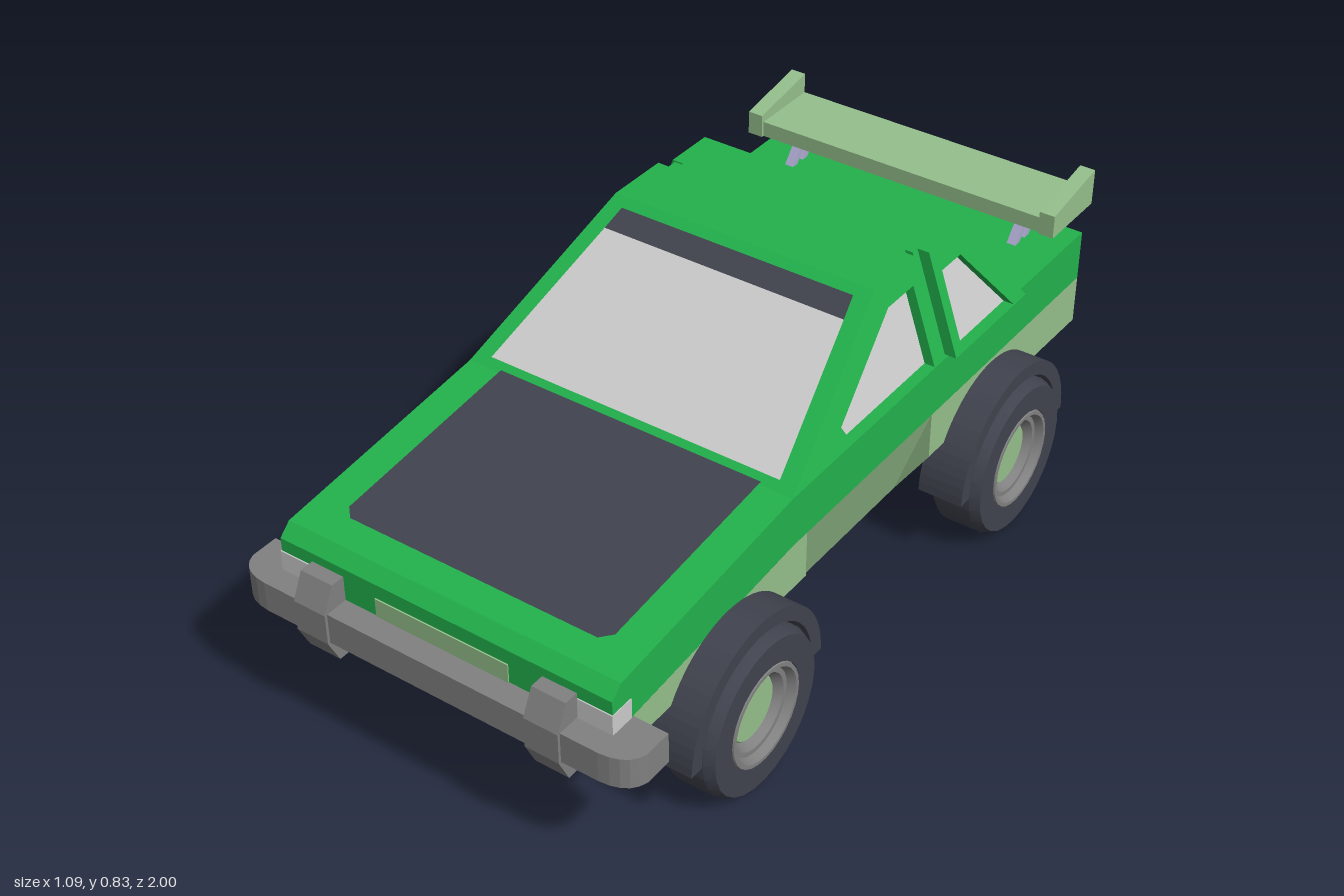
import * as THREE from 'three';
import { toCreasedNormals } from 'three/addons/utils/BufferGeometryUtils.js';

const mat = (color, extra = {}) => new THREE.MeshStandardMaterial({ color, side: THREE.DoubleSide, ...extra });
const GREEN = mat(0x22b14c), PALE = mat(0x94bf8b), DARK = mat(0x40434e), GREY = mat(0x808080);
const GLASS = mat(0xcccccc), ROD = mat(0xaaa6cc), NAVY = mat(0x2b2d80);
const CX = 0.01;        // body centre line
const HALF = 0.435;     // body half width

export function createModel() {
  const car = new THREE.Group();
  car.name = 'car';

  const add = (name, geo, material) => {
    const mesh = new THREE.Mesh(geo, material);
    mesh.name = name;
    car.add(mesh);
    return mesh;
  };
  const shapeOf = pts => new THREE.Shape(pts.map(p => new THREE.Vector2(...p)));

  // Sweep a (z, y) shape sideways; xAt(y, t) gives x for t from 0 to 1
  function sweep(shape, xAt, flip = false) {
    const geo = new THREE.ExtrudeGeometry(shape, { depth: 1, bevelEnabled: false, curveSegments: 16 });
    const p = geo.attributes.position;
    for (let i = 0; i < p.count; i++) {
      const z = p.getX(i), y = p.getY(i);
      p.setXYZ(i, xAt(y, p.getZ(i)), y, z);
    }
    if (flip) {
      for (let i = 0; i < p.count; i += 3) {
        const b = new THREE.Vector3().fromBufferAttribute(p, i + 1);
        p.setXYZ(i + 1, p.getX(i + 2), p.getY(i + 2), p.getZ(i + 2));
        p.setXYZ(i + 2, b.x, b.y, b.z);
      }
    }
    geo.computeVertexNormals();
    return geo;
  }
  const prism = (pts, x0, x1) => sweep(shapeOf(pts), (y, t) => x1 + (x0 - x1) * t);
  const box = (name, x0, x1, y0, y1, z0, z1, material) =>
    add(name, prism([[z0, y0], [z1, y0], [z1, y1], [z0, y1]], x0, x1), material);

  // Thin flat panel from its corners
  function panel(name, pts, material) {
    const v = [];
    for (let i = 1; i < pts.length - 1; i++) v.push(...pts[0], ...pts[i], ...pts[i + 1]);
    const geo = new THREE.BufferGeometry();
    geo.setAttribute('position', new THREE.Float32BufferAttribute(v, 3));
    geo.computeVertexNormals();
    return add(name, geo, material);
  }

  // Lower hull: z, top y, middle y, middle half width, bottom y, bottom half width
  const sections = [
    [0.935, 0.395, 0.33, HALF, 0.33, HALF],
    [0.8125, 0.405, 0.33, HALF, 0.2, 0.348],
    [0.3, 0.45, 0.33, HALF, 0.2, 0.348],
    [0.245, 0.45, 0.33, HALF, 0.2, 0.348],
    [0.245, 0.45, 0.33, 0.393, 0.2, 0.348],
    [-0.27, 0.45, 0.33, 0.393, 0.2, 0.348],
    [-0.27, 0.45, 0.33, HALF, 0.2, 0.348],
    [-0.62, 0.45, 0.33, HALF, 0.2, 0.348],
    [-0.965, 0.45, 0.325, HALF, 0.325, HALF],
  ];
  const rings = sections.map(([z, ty, my, mw, by, bw]) => [
    [CX + HALF, ty, z], [CX + mw, my, z], [CX + bw, by, z],
    [CX - bw, by, z], [CX - mw, my, z], [CX - HALF, ty, z]]);
  const hull = [];
  for (let i = 0; i < rings.length - 1; i++) {
    for (let j = 0; j < 6; j++) {
      const k = (j + 1) % 6, [r, s] = [rings[i], rings[i + 1]];
      hull.push(...r[j], ...r[k], ...s[k], ...r[j], ...s[k], ...s[j]);
    }
  }
  const first = rings[0], last = rings[rings.length - 1];
  for (let j = 1; j < 5; j++) {
    hull.push(...first[0], ...first[j + 1], ...first[j]);
    hull.push(...last[0], ...last[j], ...last[j + 1]);
  }
  const hullGeo = new THREE.BufferGeometry();
  hullGeo.setAttribute('position', new THREE.Float32BufferAttribute(hull, 3));
  hullGeo.computeVertexNormals();
  add('lowerBody', hullGeo, PALE);

  // Upper body with hood and rear deck
  add('upperBody', prism([[0.935, 0.395], [0.935, 0.487], [0.905, 0.515], [0.305, 0.58],
    [-0.965, 0.58], [-0.965, 0.45], [0.3, 0.45]], CX - HALF, CX + HALF), GREEN);
  const hoodY = z => 0.583 - (z - 0.305) * 0.108;
  panel('hoodPanel', [[-0.34, 0.297], [-0.34, 0.81], [-0.315, 0.835], [0.335, 0.835], [0.36, 0.81], [0.36, 0.297]]
    .map(([x, z]) => [x, hoodY(z), z]), DARK);
  box('frontPlate', -0.165, 0.185, 0.395, 0.45, 0.9, 0.938, PALE);
  box('rearPanel', CX - 0.26, CX + 0.26, 0.44, 0.5, -0.968, -0.95, PALE);
  for (const s of [-1, 1]) {
    const a = CX + s * 0.35, b = CX + s * 0.437;
    box('headlamp', Math.min(a, b), Math.max(a, b), 0.395, 0.453, 0.875, 0.938, GLASS);
  }

  // Cabin: inset core, side frames with window openings, and glass
  const halfAt = y => HALF - 0.348 * (y - 0.58);
  function cabin(label, cx, core, frame, opening) {
    add(label + 'Cabin', sweep(shapeOf(core), (y, t) => cx + (1 - 2 * t) * (halfAt(y) - 0.03)), GREEN);
    for (const s of [-1, 1]) {
      const shape = shapeOf(frame);
      shape.holes.push(new THREE.Path(opening.map(p => new THREE.Vector2(...p))));
      add(label + 'SideFrame', sweep(shape, (y, t) => cx + s * (halfAt(y) - 0.034 * t), s < 0), GREEN);
      panel(label + 'SideWindow', opening.map(([z, y]) => [cx + s * (halfAt(y) - 0.026), y, z]), GLASS);
    }
  }
  cabin('front', CX,
    [[0.305, 0.58], [-0.135, 0.83], [-0.325, 0.83], [-0.325, 0.58]],
    [[0.305, 0.58], [-0.135, 0.83], [-0.3, 0.83], [-0.3, 0.58]],
    [[0.073, 0.583], [0.095, 0.63], [-0.165, 0.775], [-0.27, 0.775], [-0.27, 0.583]]);
  cabin('rear', 0.03,
    [[-0.31, 0.58], [-0.31, 0.83], [-0.46, 0.83], [-0.65, 0.58]],
    [[-0.33, 0.58], [-0.33, 0.83], [-0.46, 0.83], [-0.65, 0.58]],
    [[-0.36, 0.583], [-0.36, 0.775], [-0.44, 0.775], [-0.592, 0.583]]);

  // Windshield, its dark top strip, and rear window
  const windshield = (x, y) => [x, y + 0.003, 0.307 - (y - 0.58) * 1.76];
  const rearSlope = (x, y) => [x, y + 0.002, -0.653 + (y - 0.58) * 0.76];
  panel('windshield', [windshield(-0.378, 0.593), windshield(0.398, 0.593),
    windshield(0.333, 0.785), windshield(-0.31, 0.785)], GLASS);
  panel('windshieldStrip', [windshield(-0.31, 0.785), windshield(0.333, 0.785),
    windshield(0.322, 0.815), windshield(-0.3, 0.815)], DARK);
  panel('rearWindow', [rearSlope(0.42, 0.597), rearSlope(-0.36, 0.597),
    rearSlope(-0.285, 0.8), rearSlope(0.35, 0.8)], GLASS);

  // Front bumper with rounded corners, and its two overriders
  const bar = new THREE.Shape();
  bar.moveTo(CX - 0.522, -0.87);
  bar.lineTo(CX - 0.522, -0.94);
  bar.quadraticCurveTo(CX - 0.51, -0.99, CX - 0.44, -0.993);
  bar.lineTo(CX + 0.44, -0.993);
  bar.quadraticCurveTo(CX + 0.51, -0.99, CX + 0.522, -0.94);
  bar.lineTo(CX + 0.522, -0.87);
  const barGeo = new THREE.ExtrudeGeometry(bar, { depth: 0.077, bevelEnabled: false, curveSegments: 5 });
  add('frontBumper', barGeo.rotateX(-Math.PI / 2).translate(0, 0.325, 0), GREY);
  for (const s of [-1, 1]) {
    const x = CX + s * 0.305;
    add('bumperOverrider', prism([[0.9, 0.262], [0.97, 0.262], [1, 0.325], [1, 0.402],
      [0.97, 0.465], [0.92, 0.465]], x - 0.043, x + 0.043), GREY);
  }

  // Rear wing on slanted rods
  box('wing', CX - HALF, CX + HALF, 0.645, 0.685, -1, -0.812, PALE);
  for (const s of [-1, 1]) {
    const x = CX + s * (HALF - 0.02);
    add('wingEndPlate', prism([[-0.805, 0.645], [-0.805, 0.705], [-1, 0.738], [-1, 0.645]], x - 0.02, x + 0.02), PALE);
    for (const z of [-0.815, -0.86]) {
      const rx = CX + s * 0.32;
      add('wingRod', prism([[z, 0.575], [z - 0.06, 0.65], [z - 0.08, 0.65], [z - 0.02, 0.575]],
        rx - 0.012, rx + 0.012), ROD);
    }
  }

  // Wheels, profiles as (radius, distance outward)
  const lathe = pts => toCreasedNormals(
    new THREE.LatheGeometry(pts.map(p => new THREE.Vector2(...p)), 28), 0.5);
  const tire = lathe([[0, 0], [0.18, 0], [0.198, 0.02], [0.198, 0.112], [0.186, 0.135], [0.125, 0.135], [0.12, 0.1]]);
  const rim = lathe([[0.125, 0.13], [0.122, 0.137], [0.113, 0.137], [0.104, 0.118], [0.092, 0.118], [0.076, 0.09]]);
  const hub = lathe([[0.08, 0.095], [0.074, 0.102], [0, 0.102]]);
  for (const s of [-1, 1]) {
    for (const end of [0.54, -0.54]) {
      const z = s > 0 ? end : end - 0.06;
      const wheel = new THREE.Group();
      wheel.name = 'wheel';
      for (const [name, geo, m] of [['tire', tire, DARK], ['rim', rim, GREY], ['hub', hub, s > 0 ? PALE : NAVY]]) {
        const mesh = new THREE.Mesh(geo, m);
        mesh.name = name;
        wheel.add(mesh);
      }
      wheel.rotation.z = -s * Math.PI / 2;
      wheel.position.set(s * 0.408, 0.199, z);
      car.add(wheel);

      // Half-ring arch over the wheel
      const arch = new THREE.Shape();
      arch.absarc(z, 0.2, 0.241, 0, Math.PI, false);
      arch.absarc(z, 0.2, 0.205, Math.PI, 0, true);
      const [x0, x1] = s > 0 ? [0.408, 0.523] : [-0.525, -0.41];
      add('wheelArch', sweep(arch, (y, t) => x1 + (x0 - x1) * t), DARK);
    }
  }
  return car;
}
